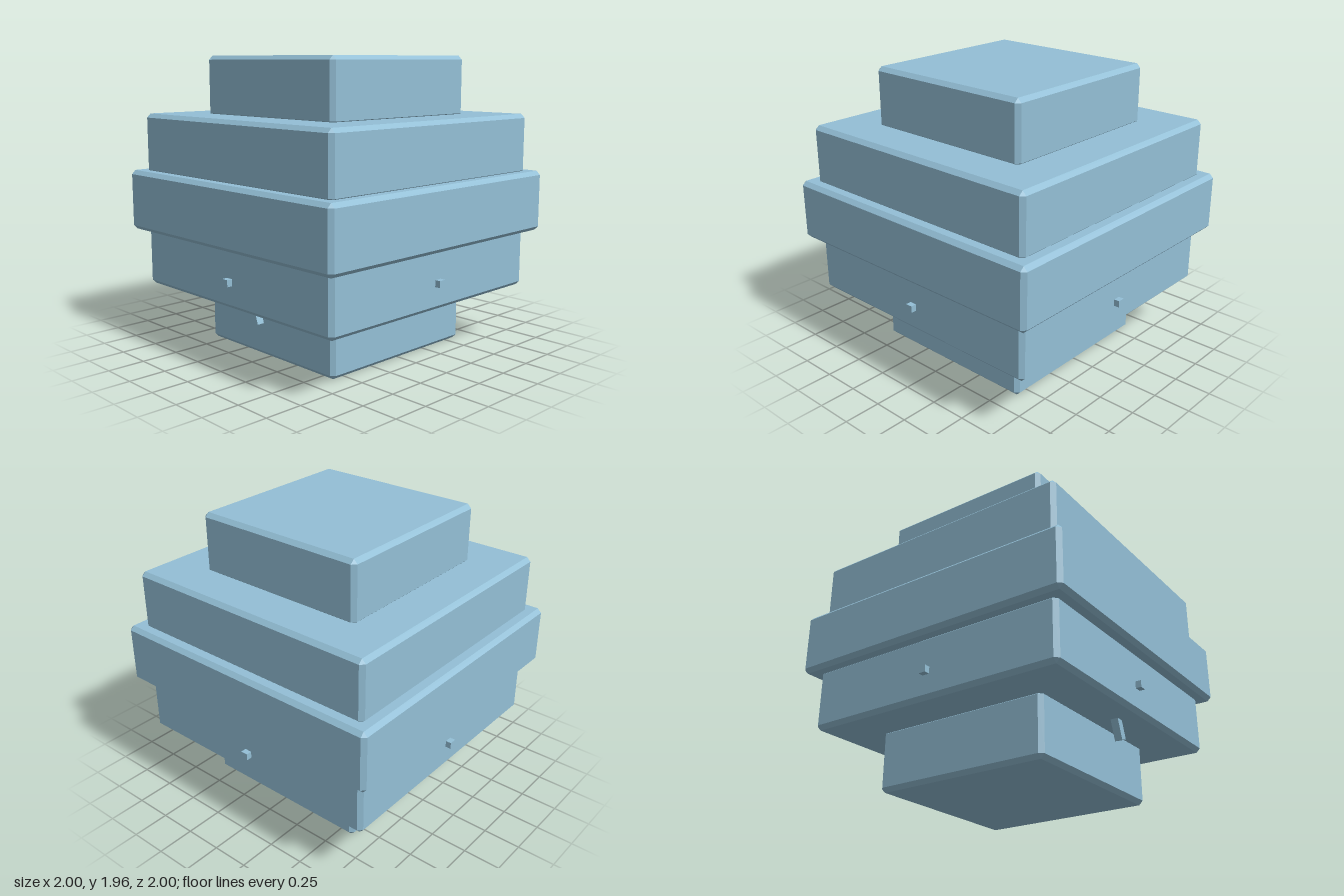
import * as THREE from 'three';
import { ConvexGeometry } from 'three/addons/geometries/ConvexGeometry.js';

// Box with every edge and corner cut flat by c
function chamferBox(w, h, d, c) {
  const points = [];
  for (const sx of [-1, 1]) for (const sy of [-1, 1]) for (const sz of [-1, 1]) {
    for (let axis = 0; axis < 3; axis++) {
      const inset = [c, c, c];
      inset[axis] = 0;
      points.push(new THREE.Vector3(
        sx * (w / 2 - inset[0]), sy * (h / 2 - inset[1]), sz * (d / 2 - inset[2])));
    }
  }
  return new ConvexGeometry(points);
}

export function createModel() {
  const model = new THREE.Group();
  model.name = 'tieredBlock';
  const paleBlue = new THREE.MeshStandardMaterial({ color: 0x93bfd6 });
  paleBlue.name = 'paleBlue';

  const add = (name, geometry, x, y, z) => {
    const mesh = new THREE.Mesh(geometry, paleBlue);
    mesh.name = name;
    mesh.position.set(x, y, z);
    model.add(mesh);
    return mesh;
  };

  // Five slightly overlapping square tiers, widest in the middle
  const height = 0.41, pitch = 0.3875;
  [1.224, 1.834, 2, 1.834, 1.224].forEach((width, i) => {
    add(`tier${i + 1}`, chamferBox(width, height, width, 0.027), 0, height / 2 + i * pitch, 0);
  });

  // One small stud on each side of the second tier
  for (let i = 0; i < 4; i++) {
    const angle = i * Math.PI / 2;
    const stud = add(`stud${i + 1}`, new THREE.BoxGeometry(0.05, 0.045, 0.1),
      Math.sin(angle) * 0.905, 0.563, Math.cos(angle) * 0.905);
    stud.rotation.y = angle;
  }

  // Tilted pegs hanging below the second tier
  for (const [name, x] of [['leftPeg', 0.745], ['rightPeg', -0.745]]) {
    const geometry = new THREE.BoxGeometry(0.05, 0.2, 0.05).translate(0, 0.1, 0);
    add(name, geometry, x, 0.266, 0.066).rotation.x = -0.33;
  }

  return model;
}
